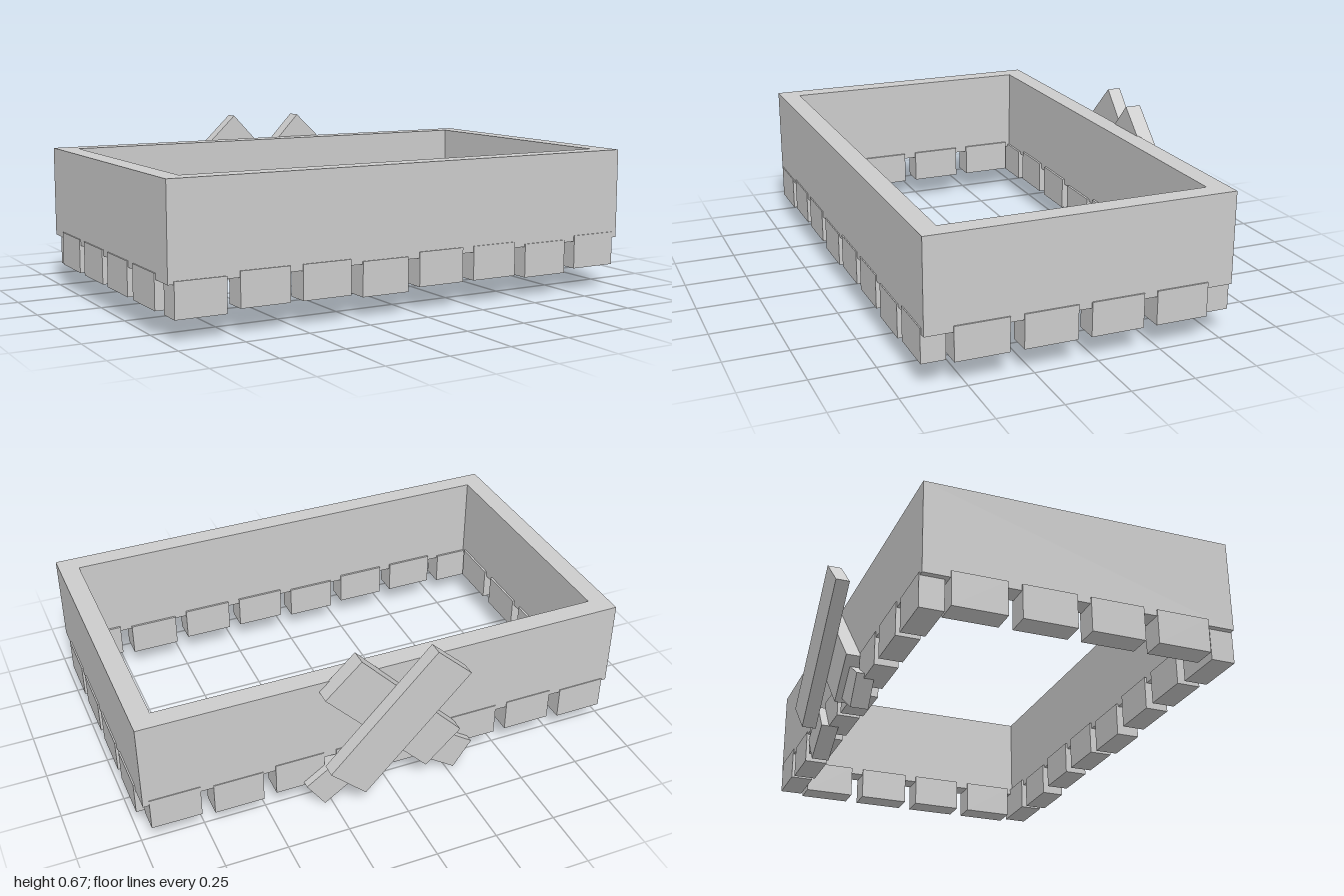
import * as THREE from 'three';

export function createModel() {
  const model = new THREE.Group();
  const material = new THREE.MeshStandardMaterial({ color: 0xcccccc, flatShading: true });

  function add(name, geometry, x, y, z, angle = 0) {
    const mesh = new THREE.Mesh(geometry, material);
    mesh.name = name;
    mesh.position.set(x, y, z);
    mesh.rotation.z = angle;
    model.add(mesh);
    return mesh;
  }

  // Rectangular wall ring, open at top and bottom
  const x0 = -0.995, x1 = 0.99, back = -0.546, front = 0.655, wall = 0.08;
  const rect = (Type, a, b, c, d) => new Type([
    new THREE.Vector2(a, c), new THREE.Vector2(b, c),
    new THREE.Vector2(b, d), new THREE.Vector2(a, d),
  ]);
  const ring = rect(THREE.Shape, x0, x1, -front, -back);
  ring.holes.push(rect(THREE.Path, x0 + wall, x1 - wall, -front + wall, -back - wall));
  const ringGeometry = new THREE.ExtrudeGeometry(ring, { depth: 0.362, bevelEnabled: false });
  ringGeometry.rotateX(-Math.PI / 2);
  add('wallRing', ringGeometry, 0, 0.21, 0);

  // Blocks beneath the front and back walls; every third one hangs lower
  const longBlock = new THREE.BoxGeometry(0.198, 0.134, 0.093);
  for (let i = 0; i < 8; i++) {
    const x = -0.874 + i * 0.2487;
    const y = i % 3 === 0 ? 0.154 : 0.167;
    add('frontBlock', longBlock, x, y, 0.613);
    add('backBlock', longBlock, x, y, -0.503);
  }

  // Blocks beneath the side walls
  const sideBlock = new THREE.BoxGeometry(0.094, 0.134, 0.208);
  for (let i = 0; i < 4; i++) {
    const z = 0.444 - i * 0.261;
    add('rightBlock', sideBlock, -0.953, 0.167, z);
    add('leftBlock', sideBlock, 0.949, 0.167, z);
  }

  // Crossed planks on the back
  const tilt = THREE.MathUtils.degToRad(46.5);
  add('innerPlank', new THREE.BoxGeometry(0.625, 0.2, 0.065), 0, 0.375, -0.5725, tilt);
  add('outerPlank', new THREE.BoxGeometry(0.625, 0.2, 0.056), 0, 0.375, -0.632, -tilt);

  // Short stubs splayed out below the planks
  const stub = new THREE.BoxGeometry(0.167, 0.133, 0.07);
  for (const side of [-1, 1]) {
    add('lowerStub', stub, side * 0.249, 0.107, -0.545, -side * THREE.MathUtils.degToRad(34.5));
  }

  return model;
}
